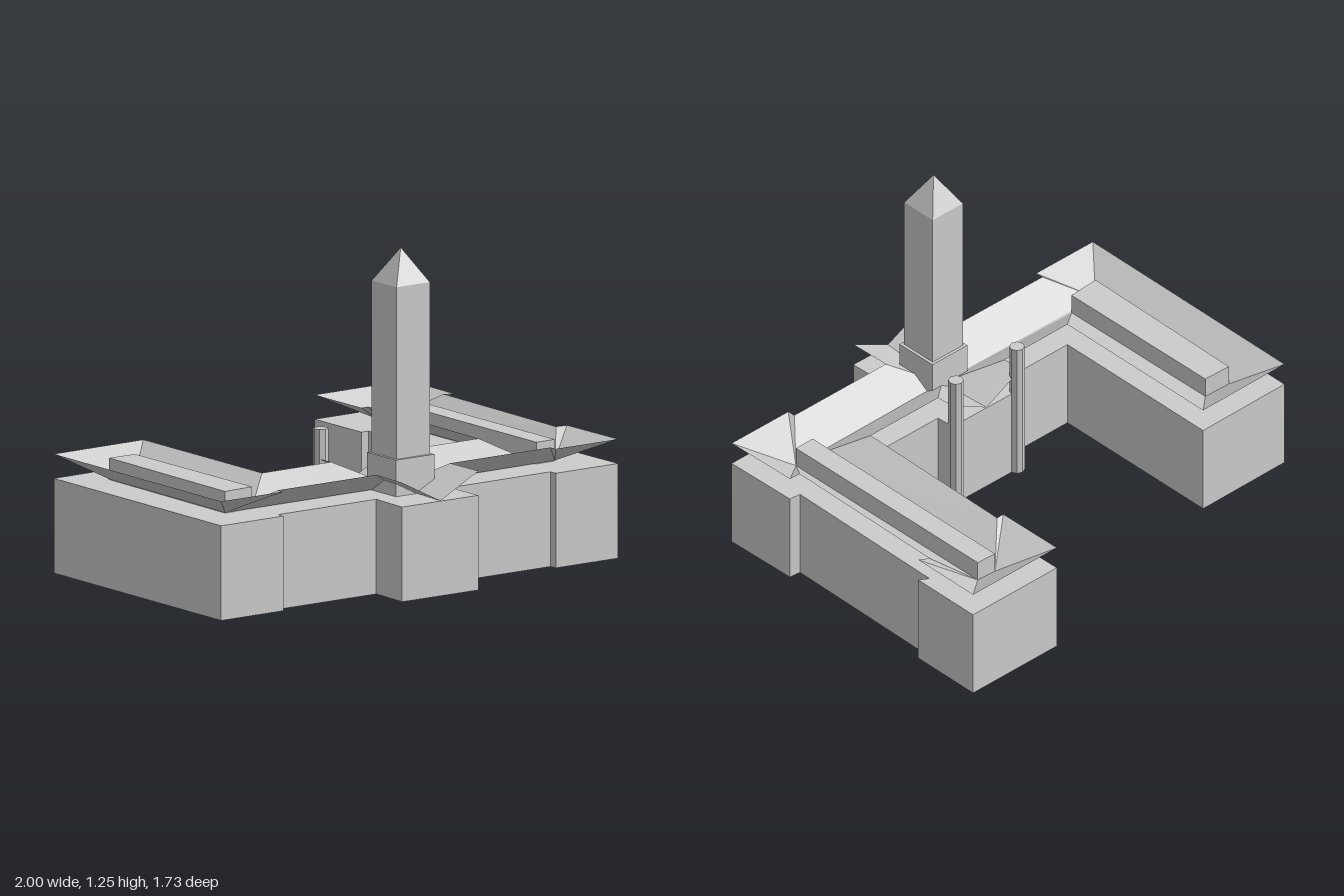
import * as THREE from 'three';

const WALL = 0.35, EAVE = 0.44, VALLEY = 0.352;
const TURN = 0.288; // the whole building is turned on its plot

const material = new THREE.MeshStandardMaterial({ color: 0xcccccc, flatShading: true });
const thin = new THREE.MeshStandardMaterial({ color: 0xcccccc, flatShading: true, side: THREE.DoubleSide });

// Plan points as [x, z]
const P = {
  a: [-0.72, 0.86], b: [-0.45, 0.78], c: [-0.46, 0.75],
  d: [-0.035, 0.625], e: [0.005, 0.785], f: [0.335, 0.69], g: [0.285, 0.53],
  h: [0.72, 0.40], i: [0.73, 0.43], j: [1.0, 0.35],
  k: [0.91, 0.06], l: [0.865, 0.07], m: [0.68, -0.60], n: [0.72, -0.59],
  o: [0.64, -0.87], p: [0.24, -0.75], q: [0.32, -0.48], r: [0.35, -0.49],
  t1: [0.50, 0.055], t2: [0.45, 0.07], t3: [0.48, 0.18], t: [0.53, 0.165],
  u: [0.21, 0.26], u2: [0.185, 0.19], v2: [-0.14, 0.285], v: [-0.11, 0.36],
  w: [-0.41, 0.45], x: [-0.61, -0.24], y: [-1.0, -0.12],
  // valley points
  s1: [-0.82, -0.03], s2: [-0.71, -0.06], s3: [-0.51, 0.615], s4: [-0.63, 0.66],
  q1: [0.45, -0.67], q2: [0.53, -0.69], q3: [0.80, 0.23], q4: [0.72, 0.255],
  mid: [0.10, 0.445], front: [0.17, 0.74], back: [0.025, 0.237],
};

function prism(name, keys, y0, y1) {
  const shape = new THREE.Shape(keys.map(k => new THREE.Vector2(P[k][0], -P[k][1])));
  const geo = new THREE.ExtrudeGeometry(shape, { depth: y1 - y0, bevelEnabled: false });
  geo.rotateX(-Math.PI / 2).translate(0, y0, 0);
  const mesh = new THREE.Mesh(geo, material);
  mesh.name = name;
  return mesh;
}

// One roof slope: raised outer edge a-b falling to the valley points c (and d)
function slope(a, b, c, d) {
  const at = (k, y) => [P[k][0], y, P[k][1]];
  const A = at(a, EAVE), B = at(b, EAVE), C = at(c, VALLEY);
  const pos = [...A, ...B, ...C];
  if (d) pos.push(...A, ...C, ...at(d, VALLEY));
  const geo = new THREE.BufferGeometry();
  geo.setAttribute('position', new THREE.Float32BufferAttribute(pos, 3));
  // make every slope face upward
  geo.computeVertexNormals();
  if (geo.attributes.normal.getY(0) < 0) {
    const arr = geo.attributes.position;
    const order = [];
    for (let i = 0; i < arr.count; i += 3) order.push(i, i + 2, i + 1);
    geo.setIndex(order);
    geo.computeVertexNormals();
  }
  const mesh = new THREE.Mesh(geo, thin);
  mesh.name = 'roofSlope';
  return mesh;
}

function squareBlock(name, side, y0, y1) {
  const mesh = new THREE.Mesh(new THREE.BoxGeometry(side, y1 - y0, side), material);
  mesh.position.y = (y0 + y1) / 2;
  mesh.name = name;
  return mesh;
}

export function createModel() {
  const model = new THREE.Group();
  model.name = 'uShapedHall';

  // Walls
  model.add(prism('walls', ['a', 'b', 'c', 'd', 'e', 'f', 'g', 'h', 'i', 'j', 'k', 'l', 'm', 'n',
    'o', 'p', 'q', 'r', 't1', 't2', 't3', 't', 'u', 'u2', 'v2', 'v', 'w', 'x', 'y'], 0, WALL));

  // Inward-falling roof
  const roof = new THREE.Group();
  roof.name = 'roof';
  const slopes = [
    // right wing
    'y a s4 s1', 'y x s2 s1', 'x w s3 s2', 'a b s4', 'b c s4',
    // main range
    'c d mid s4', 'g h q3 mid', 'w v mid s3', 'u t q4 mid',
    // left wing and its end pavilions
    'h i q3', 'i j q3', 'j k q3', 'k l q3', 'l m q2 q3', 'm n q2', 'n o q2',
    'o p q1 q2', 'p q q1', 'q r q1', 'r t q4 q1',
    // front and back centre blocks
    'd e front mid', 'f g mid front', 'v v2 back mid', 'u2 u mid back',
  ];
  for (const s of slopes) roof.add(slope(...s.split(' ')));
  model.add(roof);

  // Raised ridge boxes along both wings
  model.add(prism('rightRidge', ['s1', 's2', 's3', 's4'], WALL, 0.43));
  model.add(prism('leftRidge', ['q1', 'q2', 'q3', 'q4'], WALL, 0.43));

  // Tower
  const tower = new THREE.Group();
  tower.name = 'tower';
  tower.add(squareBlock('towerBase', 0.173, 0.34, 0.485));
  tower.add(squareBlock('towerShaft', 0.15, 0.48, 1.12));
  const capGeo = new THREE.ConeGeometry(0.15 / Math.SQRT2, 0.125, 4).rotateY(Math.PI / 4);
  const cap = new THREE.Mesh(capGeo, material);
  cap.position.y = 1.1825;
  cap.name = 'towerCap';
  tower.add(cap);
  tower.position.set(0.105, 0, 0.503);
  tower.rotation.y = TURN;
  model.add(tower);

  // Chimney pipes on the back corners
  for (const [x, z] of [[-0.12, 0.28], [0.17, 0.195]]) {
    const pipe = new THREE.Mesh(new THREE.CylinderGeometry(0.028, 0.028, 0.55, 8), material);
    pipe.position.set(x, 0.275, z);
    pipe.rotation.y = TURN;
    pipe.name = 'chimney';
    model.add(pipe);
  }
  return model;
}
